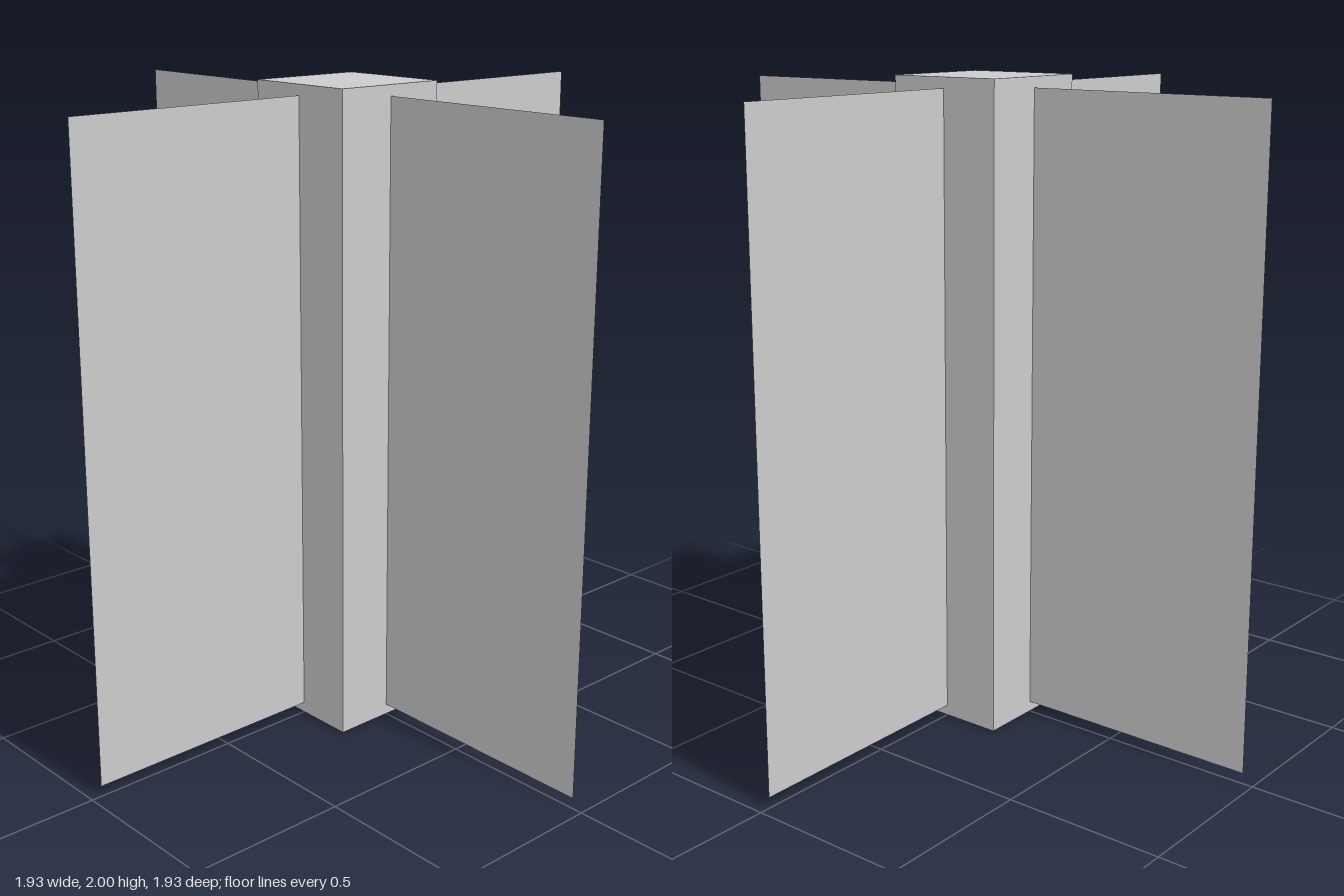
import * as THREE from 'three';

export function createModel() {
  const model = new THREE.Group();
  const solid = new THREE.MeshStandardMaterial({ color: 0xcccccc, flatShading: true });
  const sheet = new THREE.MeshStandardMaterial({ color: 0xcccccc, flatShading: true, side: THREE.DoubleSide });

  const add = (name, geometry, material, y, turn = 0) => {
    const mesh = new THREE.Mesh(geometry, material);
    mesh.name = name;
    mesh.position.y = y;
    mesh.rotation.y = turn;
    model.add(mesh);
  };

  // Square central post
  add('post', new THREE.BoxGeometry(0.375, 2, 0.375), solid, 1);

  // Two thin upright panels crossing through the post
  const panel = new THREE.PlaneGeometry(1.935, 1.935);
  add('sidewaysPanel', panel, sheet, 1);
  add('lengthwisePanel', panel, sheet, 1, Math.PI / 2);

  return model;
}
